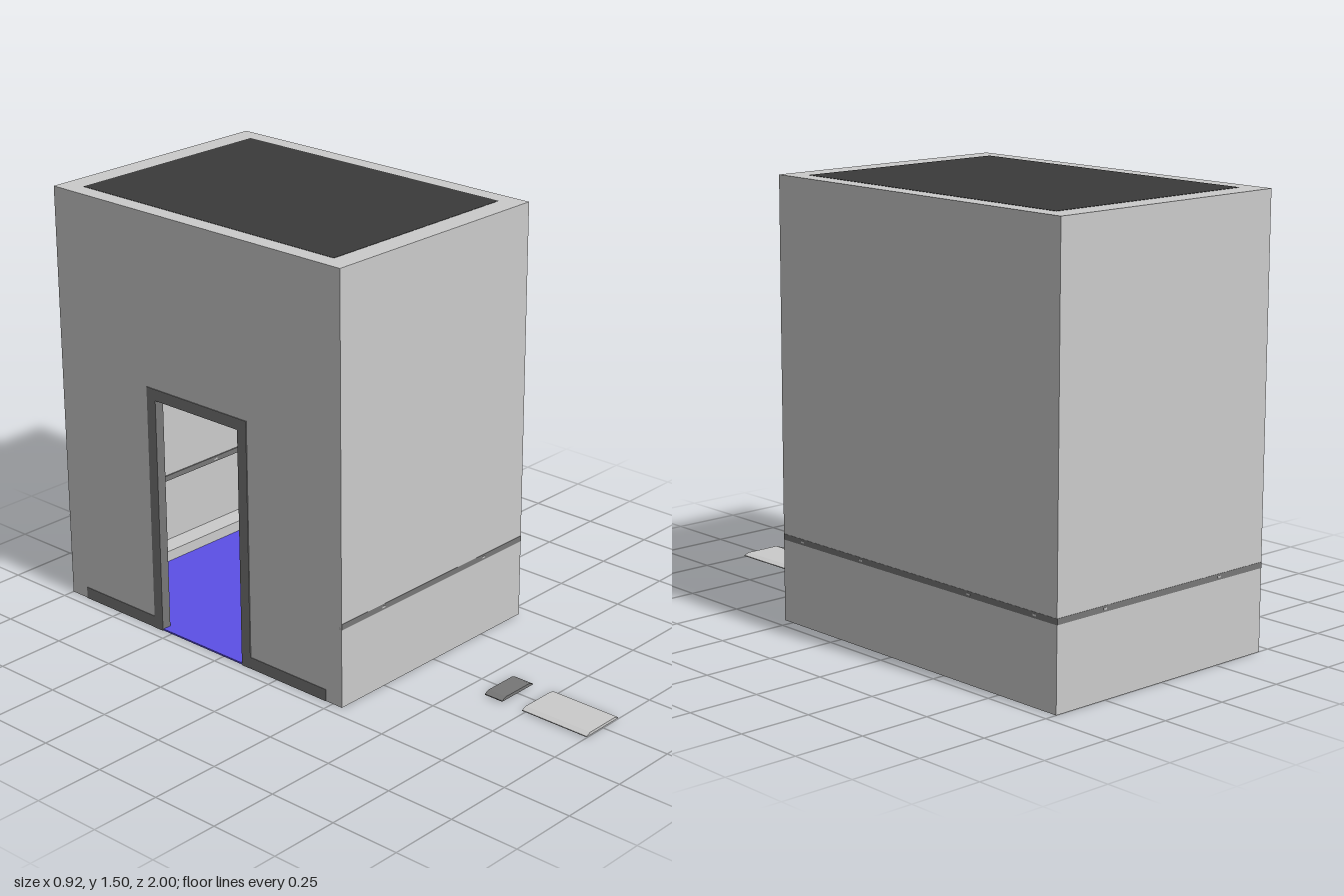
import * as THREE from 'three';

const material = (color) => new THREE.MeshStandardMaterial({ color, side: THREE.DoubleSide });

// Room limits
const X = 0.457, BACK = -1, FRONT = 0.29, H = 1.497;
const MID = (BACK + FRONT) / 2, LENGTH = FRONT - BACK;
const EDGE_X = 0.06, EDGE_Z = 0.08, EDGE_H = 0.045;
const IN_X = X - EDGE_X, IN_Z = LENGTH - 2 * EDGE_Z;
// Doorway limits along z
const DOOR_A = -0.58, DOOR_B = -0.12, DOOR_H = 0.89, JAMB = 0.04;

export function createModel() {
  const model = new THREE.Group();
  const plain = material(0xcccccc);
  const trim = material(0x777777);
  const dark = material(0x3a3a3a);
  const blue = material(0x5c50e6);

  const add = (name, geometry, mat, parent = model) => {
    const mesh = new THREE.Mesh(geometry, mat);
    mesh.name = name;
    parent.add(mesh);
    return mesh;
  };
  const box = (name, mat, w, h, d, x, y, z, parent) =>
    add(name, new THREE.BoxGeometry(w, h, d), mat, parent).position.set(x, y, z);

  // Plain thin walls
  const T = 0.004;
  box('frontWall', plain, 2 * X, H, T, 0, H / 2, FRONT - T / 2);
  box('backWall', plain, 2 * X, H, T, 0, H / 2, BACK + T / 2);
  box('leftWall', plain, T, H, LENGTH, X - T / 2, H / 2, MID);

  // Shape drawn in the z-y plane, extruded inward from the right wall
  const sidePanel = (name, points, depth, mat, outerX) => {
    const shape = new THREE.Shape(points.map(([z, y]) => new THREE.Vector2(z, y)));
    const geometry = new THREE.ExtrudeGeometry(shape, { depth, bevelEnabled: false });
    geometry.rotateY(-Math.PI / 2).translate(outerX + depth, 0, 0);
    return add(name, geometry, mat);
  };

  // Wall with the doorway, and the frame around the opening
  sidePanel('doorWall', [
    [BACK, 0], [DOOR_A, 0], [DOOR_A, DOOR_H], [DOOR_B, DOOR_H],
    [DOOR_B, 0], [FRONT, 0], [FRONT, H], [BACK, H],
  ], T, plain, -X);
  sidePanel('doorFrame', [
    [DOOR_A, 0], [DOOR_A + JAMB, 0], [DOOR_A + JAMB, DOOR_H - JAMB],
    [DOOR_B - JAMB, DOOR_H - JAMB], [DOOR_B - JAMB, 0], [DOOR_B, 0],
    [DOOR_B, DOOR_H], [DOOR_A, DOOR_H],
  ], 0.035, trim, -X - 0.003);

  // Cornice on four sides, skirting on the three closed sides
  for (const [name, y, sides] of [['cornice', H - EDGE_H / 2, [-1, 1]], ['skirting', EDGE_H / 2, [1]]]) {
    const ring = new THREE.Group();
    ring.name = name;
    model.add(ring);
    for (const z of [BACK + EDGE_Z / 2, FRONT - EDGE_Z / 2])
      box(name + 'End', plain, 2 * X, EDGE_H, EDGE_Z, 0, y, z, ring);
    for (const s of sides)
      box(name + 'Side', plain, EDGE_X, EDGE_H, IN_Z, s * (X - EDGE_X / 2), y, MID, ring);
  }

  // Skirting strips on either side of the door
  for (const [a, b] of [[BACK + 0.075, DOOR_A], [DOOR_B, FRONT - 0.07]])
    box('doorSkirting', trim, 0.012, 0.042, b - a, -X + 0.004, 0.021, (a + b) / 2);

  // Ceiling and floor panels
  box('ceiling', dark, 2 * IN_X, 0.01, IN_Z, 0, H - 0.004, MID);
  box('floor', blue, IN_X + X, 0.006, IN_Z, -EDGE_X / 2, 0.003, MID);

  // Rail round the three closed walls
  const RAIL_Y = 0.29, RAIL_H = 0.02, R = 0.01;
  for (const [wall, s] of [[FRONT, 1], [BACK, -1]]) {
    const z = wall - s * 0.004;
    box('endRail', trim, 2 * X, RAIL_H, R, 0, RAIL_Y, z);
    for (const x of [-0.255, 0.255])
      box('railStud', plain, 0.014, 0.006, R + 0.002, x, RAIL_Y, z);
  }
  box('sideRail', trim, R, RAIL_H, LENGTH, X - 0.004, RAIL_Y, MID);
  for (const z of [0.19, -0.105, -0.615, -0.905])
    box('railStud', plain, R + 0.002, 0.006, 0.014, X - 0.004, RAIL_Y, z);

  // Low plates with sloping edges lying in front of the room
  const plate = (name, mat, x0, x1, z0, z1, low, high) => {
    const shape = new THREE.Shape([
      [x0, low], [x1, low], [x1, low + 0.003], [x1 - 0.02, high], [x0 + 0.02, high], [x0, low + 0.003],
    ].map(([x, y]) => new THREE.Vector2(x, y)));
    add(name, new THREE.ExtrudeGeometry(shape, { depth: z1 - z0, bevelEnabled: false }), mat)
      .position.z = z0;
  };
  plate('largePlate', plain, -0.088, 0.08, 0.74, 1, 0.003, 0.013);
  plate('smallPlate', trim, -0.085, 0.075, 0.582, 0.655, 0.004, 0.015);

  return model;
}
